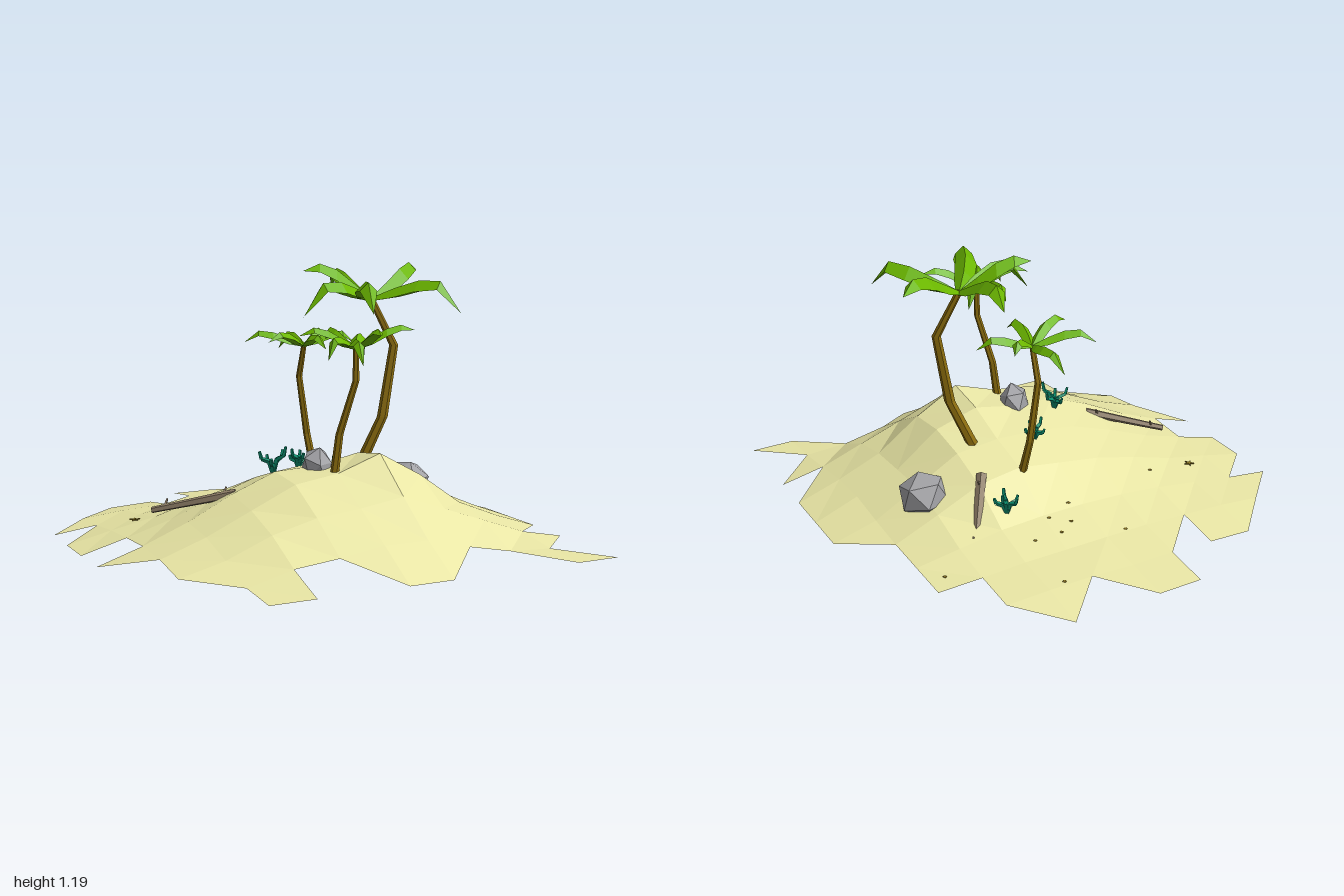
import * as THREE from 'three';

const V = (x, y, z) => new THREE.Vector3(x, y, z);
const mat = (color) => new THREE.MeshStandardMaterial({ color, flatShading: true, roughness: 0.9, side: THREE.DoubleSide });
const M = {
  sand: mat(0xe8e5a4), bark: mat(0x8c6d0e), leaf: mat(0x6cb800), rock: mat(0xa2a2a6),
  wood: mat(0x8c7b65), plant: mat(0x0b9070), debris: mat(0x8a7420),
};

function mesh(name, geometry, material) {
  const m = new THREE.Mesh(geometry, material);
  m.name = name;
  return m;
}

function seeded(seed) {
  return () => (seed = (seed * 16807) % 2147483647) / 2147483647;
}

// Sand heights in hundredths on a 0.2 grid; rows run from back to front
const HEIGHTS = [
  [0, 0, 0, 0, 0.5, 0.5, 0.5, 0.5, 0.5, 0.5, 0.5],
  [0, 1, 1, 2, 3, 3, 4, 4, 3.5, 2, 1],
  [0, 2, 4, 5, 6, 6, 6, 6, 5, 4.5, 1],
  [0.5, 3, 6, 9, 11, 12, 12, 11, 8, 5, 1],
  [0.5, 5, 9, 15, 20, 23, 26, 23, 14, 5.5, 1],
  [0.5, 6, 12, 20, 27, 30, 31, 29, 18, 7, 1.5],
  [0.5, 7, 15, 25, 33, 34, 38, 32, 17, 9, 1.5],
  [0.5, 6, 13, 22, 31, 34, 41, 30, 16, 8, 1.5],
  [0.5, 3, 8, 16, 21, 23, 26, 19, 12, 5, 1],
  [0.5, 1, 2, 7, 9, 12, 12, 7, 3, 2, 1],
  [0.5, 0.5, 0.5, 0.5, 0.5, 0.5, 0.5, 0.5, 0.5, 0.5, 0.5],
];
// Cells of the ragged shore: # full, . empty, a/b/c/d half cell at NW/NE/SW/SE
const CELLS = [
  '....#cdc..', '.d#d####..', 'd########.', 'd########.', '#########c',
  '.#########', 'b#########', '.########a', '.b#######a', '..#.b#a.bc',
];

function groundHeight(x, z) {
  const gx = (x + 1) * 5, gz = (z + 1) * 5;
  const i = Math.min(9, Math.floor(gx)), j = Math.min(9, Math.floor(gz));
  const lerp = THREE.MathUtils.lerp;
  const row = (r) => lerp(HEIGHTS[r][i], HEIGHTS[r][i + 1], gx - i);
  return lerp(row(j), row(j + 1), gz - j) / 100;
}

function sandIsland() {
  const points = [];
  const corner = (i, j) => V(i / 5 - 1, HEIGHTS[j][i] / 100, j / 5 - 1);
  CELLS.forEach((line, j) => [...line].forEach((cell, i) => {
    if (cell === '.') return;
    const nw = corner(i, j), ne = corner(i + 1, j), sw = corner(i, j + 1), se = corner(i + 1, j + 1);
    const half = { a: [nw, sw, ne], b: [nw, se, ne], c: [nw, sw, se], d: [ne, sw, se] };
    // Full cells fold along the flatter diagonal
    const parts = cell !== '#' ? cell : Math.abs(nw.y - se.y) < Math.abs(ne.y - sw.y) ? 'bc' : 'ad';
    for (const p of parts) points.push(...half[p]);
  }));
  const g = new THREE.BufferGeometry().setFromPoints(points);
  g.computeVertexNormals();
  return mesh('sandIsland', g, M.sand);
}

// Bent trunk: a cylinder whose rings are moved onto the path
function trunk(path, r0, r1) {
  const n = path.length - 1;
  const g = new THREE.CylinderGeometry(1, 1, 1, 6, n);
  const p = g.attributes.position;
  for (let k = 0; k < p.count; k++) {
    const s = Math.round((p.getY(k) + 0.5) * n);
    const r = THREE.MathUtils.lerp(r0, r1, s / n), c = path[s];
    p.setXYZ(k, c.x + p.getX(k) * r, c.y, c.z + p.getZ(k) * r);
  }
  g.computeVertexNormals();
  return mesh('trunk', g, M.bark);
}

// Solid roof-shaped frond that runs out level, then drops to its tip
function frond(base, tip, width, arch, curl) {
  const g = new THREE.CylinderGeometry(1, 1, 1, 4, 4, true);
  const p = g.attributes.position;
  const spread = [0.3, 0.85, 0.95, 0.75, 0], rise = [0, 0.55, 1, 1.1, 0], reach = [0, 0.1, 0.25, 0.4, 1];
  const side = V(tip.z - base.z, 0, base.x - tip.x);
  const length = side.length();
  side.normalize();
  for (let k = 0; k < p.count; k++) {
    const s = Math.round((p.getY(k) + 0.5) * 4);
    const u = p.getX(k), w = spread[s] * width / 2;
    const v = base.clone().lerp(tip, s / 4);
    v.addScaledVector(side, u * w + Math.sin(s * Math.PI / 4) * curl * length);
    // Ridge on top, edges hanging, keel just above the edges
    v.y = base.y + (tip.y - base.y) * reach[s] + rise[s] * arch
      - w * (Math.abs(u) + Math.max(0, -p.getZ(k)) * 0.8);
    p.setXYZ(k, v.x, v.y, v.z);
  }
  g.computeVertexNormals();
  return mesh('frond', g, M.leaf);
}

function palm(name, path, r0, r1, tips, width, arch) {
  const g = new THREE.Group();
  g.name = name;
  const pts = path.map((q) => V(...q));
  g.add(trunk(pts, r0, r1));
  const top = pts[pts.length - 1];
  tips.forEach((t, i) => g.add(frond(top, V(...t), width, arch, i % 2 ? -0.07 : 0.07)));
  return g;
}

function rock(name, pos, size, seed) {
  const g = new THREE.IcosahedronGeometry(1, 0);
  const p = g.attributes.position, seen = {}, rnd = seeded(seed);
  for (let k = 0; k < p.count; k++) {
    const v = V(p.getX(k), p.getY(k), p.getZ(k));
    const key = v.toArray().map((c) => c.toFixed(2)).join();
    v.multiplyScalar(seen[key] ??= 0.9 + rnd() * 0.25);
    p.setXYZ(k, v.x, v.y, v.z);
  }
  g.rotateZ(0.5);
  g.rotateX(0.3);
  g.scale(...size);
  g.computeVertexNormals();
  const m = mesh(name, g, M.rock);
  m.position.set(...pos);
  return m;
}

// Straight tapered stick between two points
function stick(name, a, b, ra, rb, material, sides = 5) {
  const d = b.clone().sub(a);
  const m = mesh(name, new THREE.CylinderGeometry(rb, ra, d.length(), sides), material);
  m.position.copy(a).lerp(b, 0.5);
  m.quaternion.setFromUnitVectors(V(0, 1, 0), d.normalize());
  return m;
}

function driftwood(name, a, b, ra, rb) {
  const g = new THREE.Group();
  g.name = name;
  g.add(stick('log', a, b, ra, rb, M.wood));
  for (const t of [0.15, 0.85]) {
    const fork = a.clone().lerp(b, t);
    g.add(stick('twig', fork, fork.clone().add(V(0.02, 0.035, -0.015)), 0.008, 0.004, M.wood, 4));
  }
  return g;
}

// Small plant with curling stems
function shorePlant(x, z, size) {
  const g = new THREE.Group();
  g.name = 'shorePlant';
  const y = groundHeight(x, z);
  for (let k = 0; k < 5; k++) {
    const a = k * 1.257 + x * 9, c = Math.cos(a) * size, s = Math.sin(a) * size;
    const h = size * (1 + 0.35 * (k % 3));
    const p = [V(x, y, z), V(x + c * 0.3, y + h * 0.6, z + s * 0.3),
      V(x + c * 0.85, y + h * 0.75, z + s * 0.85), V(x + c, y + h * 1.15, z + s)];
    for (let i = 0; i < 3; i++) g.add(stick('stem', p[i], p[i + 1], 0.013 - i * 0.002, 0.011 - i * 0.002, M.plant, 4));
  }
  return g;
}

export function createModel() {
  const root = new THREE.Group();
  root.name = 'palmIsland';
  root.add(sandIsland());

  // Palms
  root.add(palm('tallPalm',
    [[0.29, 0.26, 0.03], [0.39, 0.51, 0.08], [0.445, 0.83, 0.08], [0.36, 1.04, 0.02]], 0.028, 0.016,
    [[0.36, 1.08, -0.37], [0.71, 1.15, -0.18], [0.6, 0.99, 0.39], [0.17, 1.0, 0.39], [0, 0.97, 0.07], [0.08, 1.16, -0.1]],
    0.1, 0.095));
  root.add(palm('frontPalm',
    [[0, 0.31, 0.36], [0.02, 0.5, 0.37], [0.07, 0.73, 0.42], [0.07, 0.87, 0.42]], 0.019, 0.012,
    [[0.06, 0.88, 0.16], [0.3, 0.94, 0.51], [0.05, 0.94, 0.67], [-0.02, 0.82, 0.65], [-0.16, 0.92, 0.35], [-0.1, 0.83, 0.5], [0.18, 0.82, 0.29]],
    0.06, 0.06));
  root.add(palm('backPalm',
    [[0.19, 0.22, -0.2], [0.17, 0.4, -0.24], [0.13, 0.67, -0.24], [0.13, 0.82, -0.19]], 0.019, 0.012,
    [[-0.11, 0.83, -0.32], [0.12, 0.78, -0.44], [-0.1, 0.85, -0.08], [0.13, 0.82, 0.03], [0.36, 0.82, -0.12], [0.27, 0.84, -0.29]],
    0.06, 0.055));

  // Rocks
  root.add(rock('largeRock', [0.595, 0.175, -0.055], [0.112, 0.1, 0.118], 7));
  root.add(rock('smallRock', [-0.02, 0.345, 0.235], [0.072, 0.085, 0.082], 23));

  // Driftwood
  root.add(driftwood('leftDriftwood', V(-0.67, 0.16, -0.04), V(-0.36, 0.24, 0.15), 0.014, 0.021));
  root.add(driftwood('backDriftwood', V(0.53, 0.035, -0.4), V(0.37, 0.26, -0.17), 0.016, 0.024));

  // Shore plants
  root.add(shorePlant(-0.18, 0.14, 0.06), shorePlant(0.03, -0.04, 0.045), shorePlant(0.34, -0.34, 0.055));

  // Scattered flat pebbles on the beach
  const spots = [[0.32, -0.78], [0.73, -0.52], [0.17, -0.51], [0.1, -0.47], [0.3, -0.51],
    [0.06, -0.38], [-0.1, -0.59], [-0.43, -0.29], [0.18, -0.42]];
  for (const [x, z] of spots) {
    const m = mesh('pebble', new THREE.IcosahedronGeometry(0.01, 0).scale(1, 0.4, 0.8), M.debris);
    m.position.set(x, groundHeight(x, z) + 0.002, z);
    root.add(m);
  }

  // Starfish
  const star = new THREE.Shape(Array.from({ length: 10 }, (_, k) => {
    const a = k * Math.PI / 5, r = k % 2 ? 0.008 : 0.024;
    return new THREE.Vector2(Math.cos(a) * r, Math.sin(a) * r);
  }));
  const fish = mesh('starfish', new THREE.ExtrudeGeometry(star, { depth: 0.006, bevelEnabled: false }), M.debris);
  fish.rotation.x = -Math.PI / 2;
  fish.position.set(-0.67, groundHeight(-0.67, -0.26) + 0.002, -0.26);
  root.add(fish);
  return root;
}
